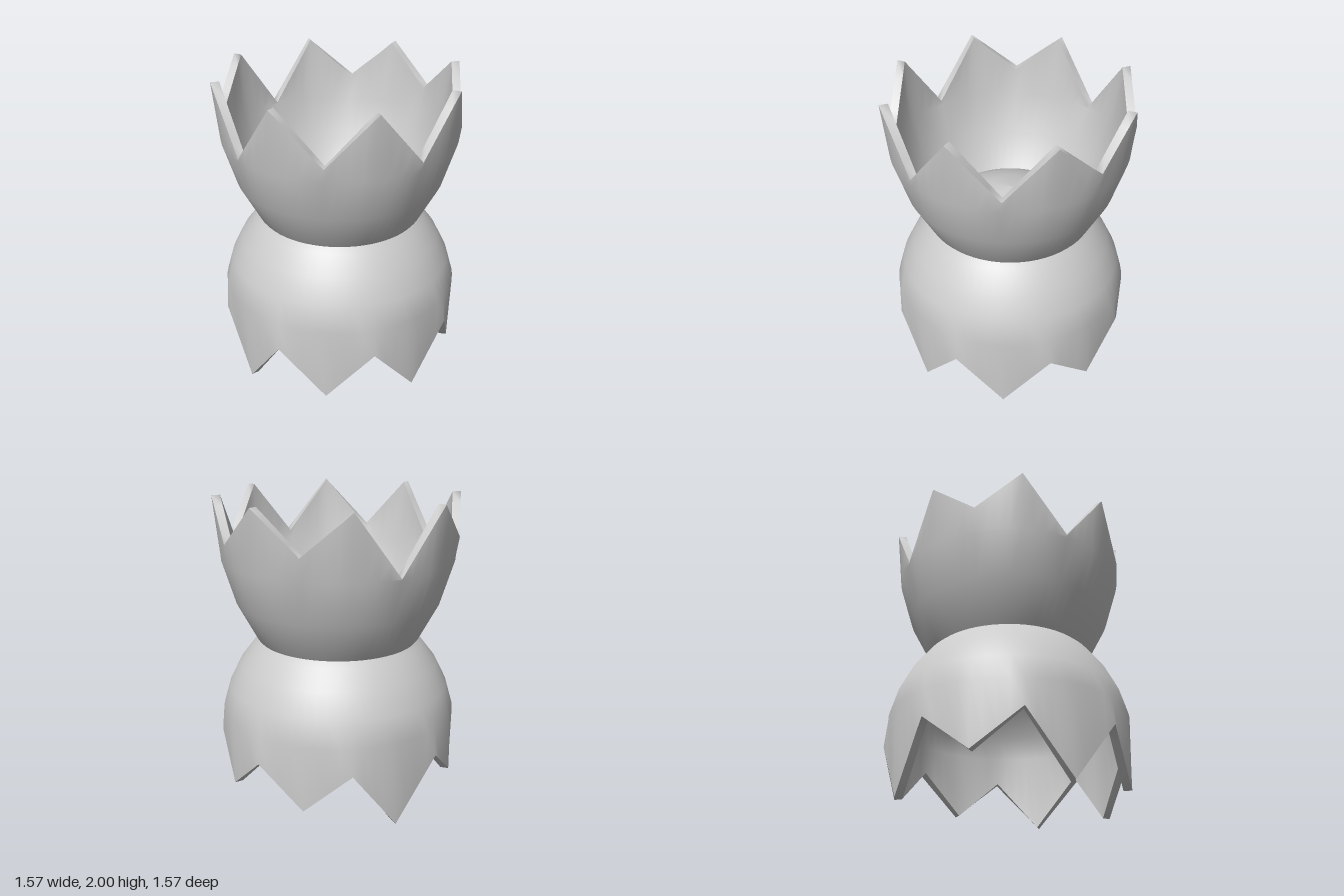
import * as THREE from 'three';
import { mergeGeometries } from 'three/addons/utils/BufferGeometryUtils.js';

const RADIUS = 0.8, WALL = 0.055, SEGMENTS = 64, TEETH = 8;
const STEP = SEGMENTS / (TEETH * 2);
// Depth of the crack below its high points, one value per tooth
const CRACK = [0.35, 0.33, 0.26, 0.26, 0.4, 0.24, 0.385, 0.32];
const material = new THREE.MeshStandardMaterial({ color: 0xcccccc });

// Angle 0 faces +z; corners of the crack lie every 22.5 degrees
const angleAt = (j) => ((j / STEP + 0.5) * Math.PI) / TEETH;

function ring(radius, y) {
  return Array.from({ length: SEGMENTS }, (_, j) => {
    const a = angleAt(j);
    return new THREE.Vector3(radius * Math.sin(a), y, radius * Math.cos(a));
  });
}

// Zigzag ring: straight edges between deep and high corners
function crackRing(topY, scale) {
  const corner = (k) => {
    const n = k % (TEETH * 2);
    const depth = n % 2 ? 0 : CRACK[n / 2];
    const r = scale * RADIUS * Math.sqrt(1 - (depth / 1.27) ** 2);
    const a = angleAt(n * STEP);
    return new THREE.Vector3(r * Math.sin(a), topY - depth, r * Math.cos(a));
  };
  return Array.from({ length: SEGMENTS }, (_, j) => {
    const k = Math.floor(j / STEP);
    return corner(k).lerp(corner(k + 1), (j % STEP) / STEP);
  });
}

// Closed band of quads through a list of rings
function skin(rings, flip) {
  const points = rings.flat(), index = [];
  for (let i = 0; i < rings.length - 1; i++) {
    for (let j = 0; j < SEGMENTS; j++) {
      const k = (j + 1) % SEGMENTS;
      const a = i * SEGMENTS + j, b = i * SEGMENTS + k;
      const c = a + SEGMENTS, d = b + SEGMENTS;
      if (flip) index.push(a, d, c, a, b, d);
      else index.push(a, c, d, a, d, b);
    }
  }
  const geometry = new THREE.BufferGeometry().setFromPoints(points);
  geometry.setIndex(index);
  geometry.computeVertexNormals();
  return geometry;
}

// Half egg with a thick wall; dir = 1 is a dome, dir = -1 a cup
function halfShell(name, { topY, height, lastRing, steps, dir }) {
  const wall = (inset) => {
    const r = RADIUS - inset, h = height - inset;
    const end = Math.asin(lastRing / h), rings = [];
    for (let i = 0; i <= steps; i++) {
      const lat = THREE.MathUtils.lerp(Math.PI / 2, end, i / steps);
      rings.push(ring(r * Math.cos(lat), topY + dir * h * Math.sin(lat)));
    }
    rings.push(crackRing(topY, r / RADIUS));
    return rings;
  };
  const outer = wall(0), inner = wall(WALL).reverse();
  const edge = [outer[outer.length - 1], inner[0]];
  const parts = [outer, edge, inner].map((rings) => skin(rings, dir < 0));
  const mesh = new THREE.Mesh(mergeGeometries(parts), material);
  mesh.name = name;
  return mesh;
}

export function createModel() {
  const group = new THREE.Group();
  group.name = 'crackedEggShell';
  // Rounded half, open side down
  group.add(halfShell('lowerShellDome', { topY: 0.4, height: 0.87, lastRing: 0.18, steps: 7, dir: 1 }));
  // Pointed half, sunk into the dome with its open side up
  group.add(halfShell('upperShellCup', { topY: 2, height: 1.27, lastRing: 0.405, steps: 5, dir: -1 }));
  return group;
}
